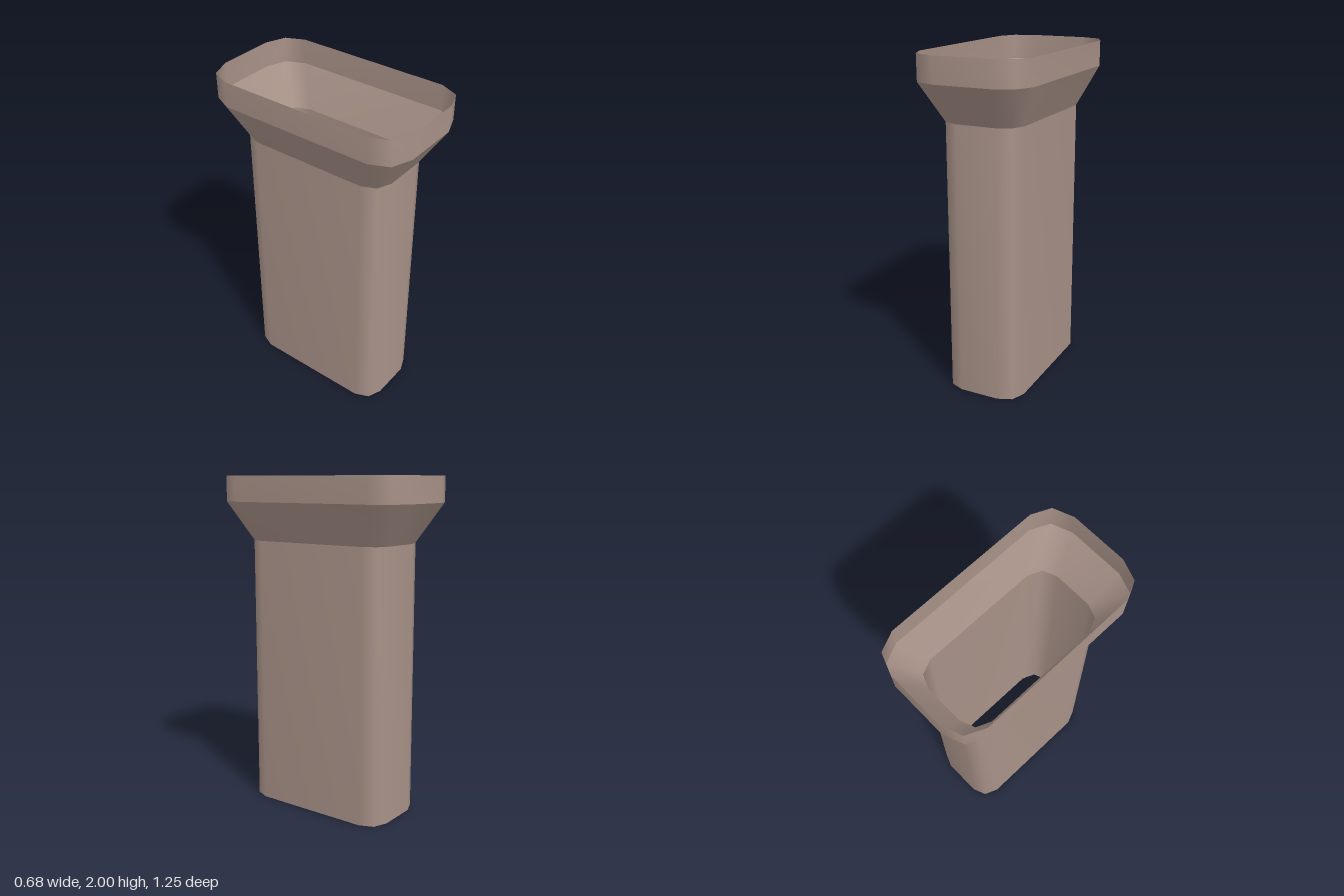
import * as THREE from 'three';

// One chamfered corner of each cross-section, as [x, z] from front to side
const NARROW = [[0.12, 0.477], [0.203, 0.443], [0.238, 0.36]];
const WIDE = [[0.17, 0.625], [0.29, 0.58], [0.34, 0.47]];

// Mirror the corner into a closed 12-point ring at height y
function ring(corner, y) {
  const points = [];
  [[1, 1], [1, -1], [-1, -1], [-1, 1]].forEach(([sx, sz], q) => {
    const ordered = q % 2 ? [...corner].reverse() : corner;
    for (const [x, z] of ordered) points.push(sx * x, y, sz * z);
  });
  return points;
}

// Open band between two rings, smooth around and sharp at its rims
function band(name, lower, y0, upper, y1, material) {
  const positions = [...ring(lower, y0), ...ring(upper, y1)];
  const n = positions.length / 6;
  const index = [];
  for (let i = 0; i < n; i++) {
    const j = (i + 1) % n;
    index.push(i, j, n + i, j, n + j, n + i);
  }
  const geometry = new THREE.BufferGeometry();
  geometry.setAttribute('position', new THREE.Float32BufferAttribute(positions, 3));
  geometry.setIndex(index);
  geometry.computeVertexNormals();
  const mesh = new THREE.Mesh(geometry, material);
  mesh.name = name;
  return mesh;
}

export function createModel() {
  const group = new THREE.Group();
  group.name = 'flaredDuct';
  const clay = new THREE.MeshStandardMaterial({ color: 0xa89288, side: THREE.DoubleSide });
  clay.name = 'warm taupe';

  group.add(
    band('shaft', NARROW, 0, NARROW, 1.62, clay),
    band('flare', NARROW, 1.62, WIDE, 1.85, clay),
    band('collar', WIDE, 1.85, WIDE, 2, clay),
  );
  return group;
}
